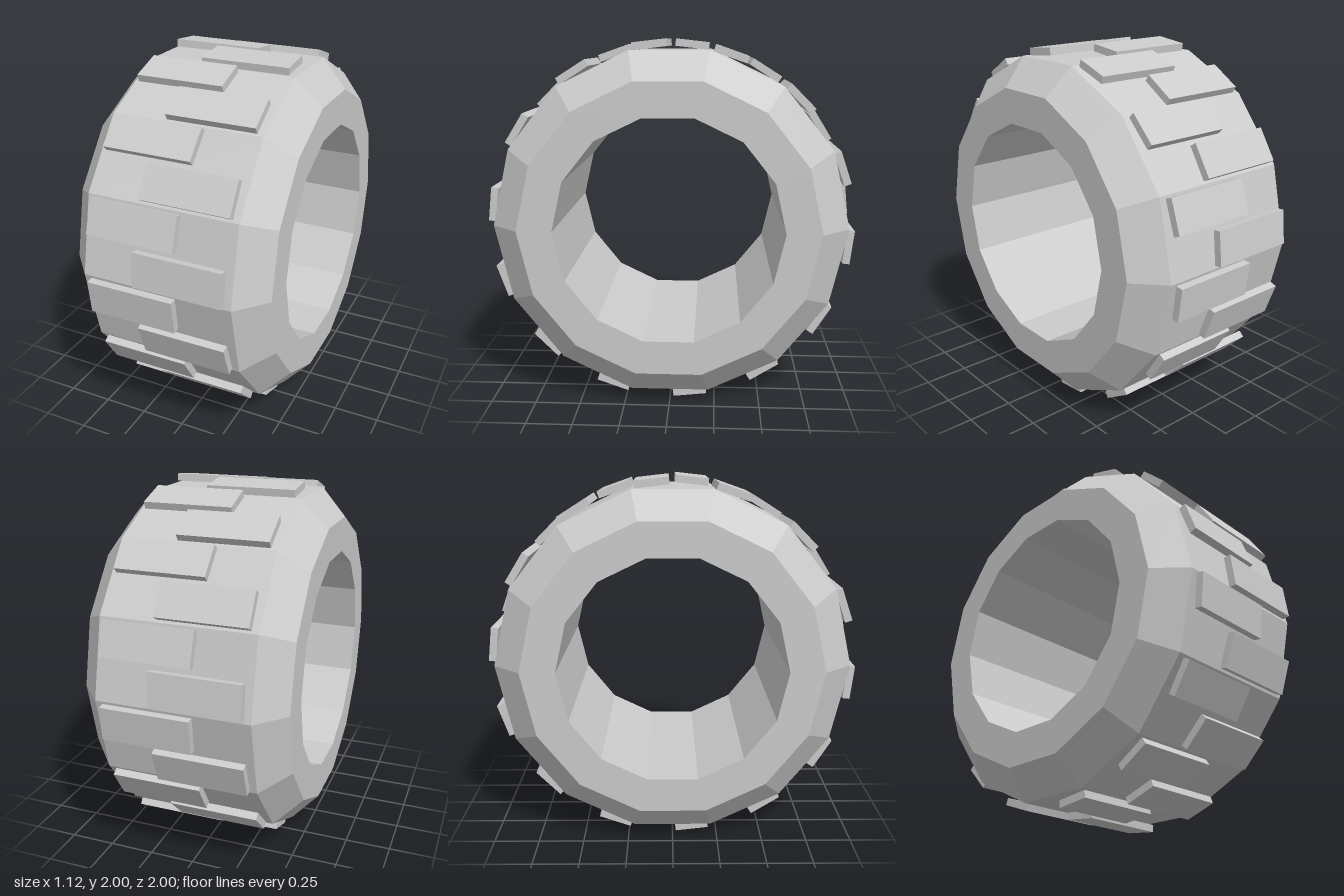
import * as THREE from 'three';

export function createModel() {
  const group = new THREE.Group();
  const material = new THREE.MeshStandardMaterial({ color: 0xcccccc, flatShading: true });
  const SIDES = 14;

  // Tyre body: closed cross-section (radius, width) swept round the axle
  const profile = [
    [0.617, -0.558], [0.808, -0.558], [0.964, -0.415],
    [0.964, 0.415], [0.808, 0.558], [0.617, 0.558], [0.617, -0.558],
  ].map(([r, w]) => new THREE.Vector2(r, w));
  const tyre = new THREE.Mesh(new THREE.LatheGeometry(profile, SIDES), material);
  tyre.name = 'tyreBody';
  tyre.rotation.z = -Math.PI / 2;
  tyre.position.y = 1;
  group.add(tyre);

  // Tread blocks: two per facet, staggered left and right
  const treads = new THREE.Group();
  treads.name = 'treadBlocks';
  treads.position.y = 1;
  const blockGeometry = new THREE.BoxGeometry(0.488, 0.186, 0.04);
  const count = SIDES * 2;
  const radius = 0.976;
  for (let i = 0; i < count; i++) {
    const angle = ((i + 0.5) / count) * Math.PI * 2;
    const block = new THREE.Mesh(blockGeometry, material);
    block.name = 'treadBlock';
    block.position.set(
      i % 2 === 0 ? 0.134 : -0.134,
      Math.sin(angle) * radius,
      Math.cos(angle) * radius,
    );
    block.rotation.x = -angle;
    treads.add(block);
  }
  group.add(treads);

  return group;
}
